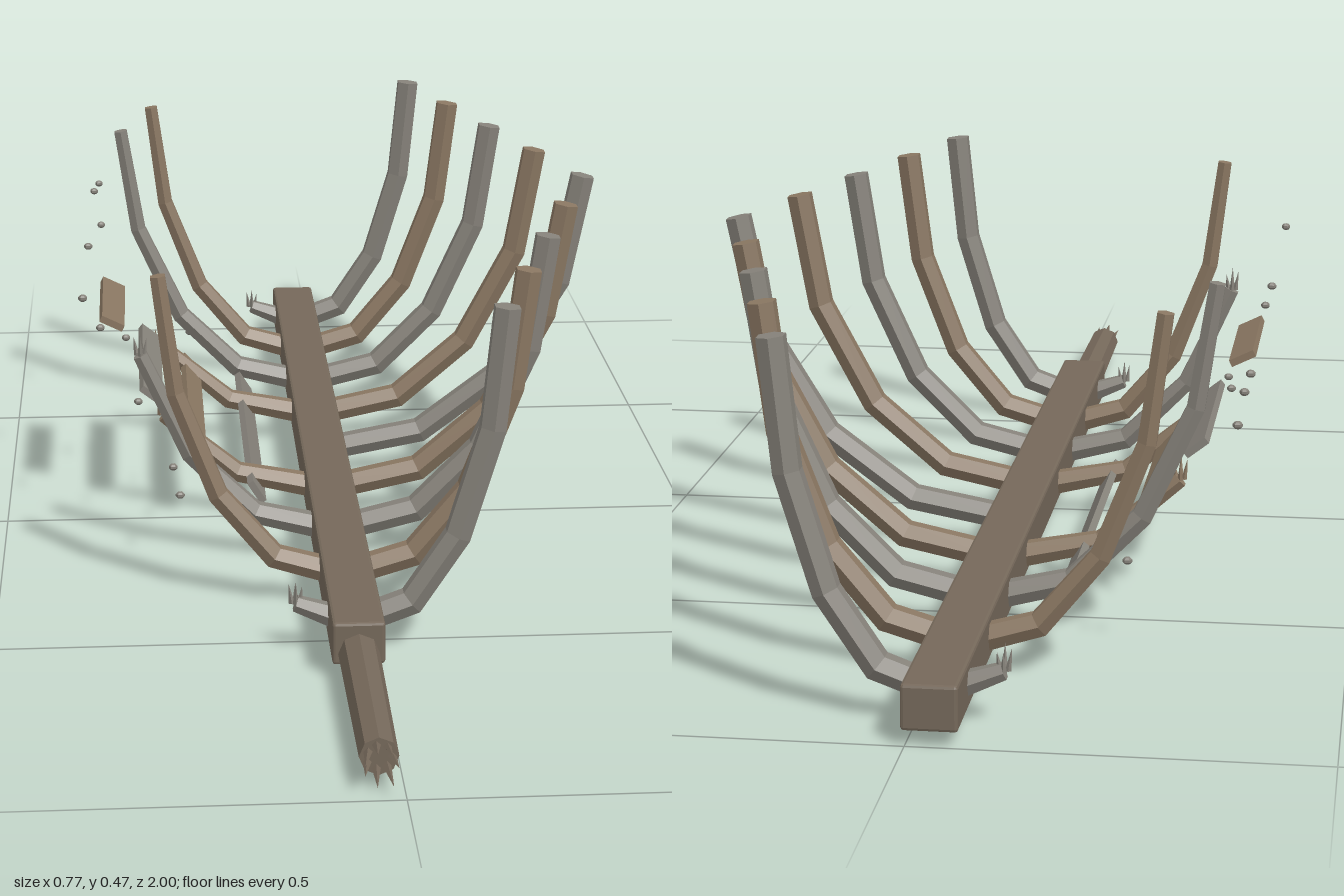
import * as THREE from 'three';
import { RoundedBoxGeometry } from 'three/addons/geometries/RoundedBoxGeometry.js';

const wood = (color) => new THREE.MeshStandardMaterial({ color, flatShading: true });
const dark = wood(0x75685a), brown = wood(0x8a7762), grey = wood(0x86827a);
const CX = -0.029; // keel centre line

// Rib curve: [fraction of half-beam, height]
const PROFILE = [[0, 0.042], [0.385, 0.07], [0.69, 0.16], [0.915, 0.305], [1, 0.467]];

// Six-sided mitred beam through points lying in one xy plane, capped at both ends
function beamGeometry(points, r0, r1) {
  const sides = 6, n = points.length, pos = [], index = [];
  const dirs = points.slice(1).map((p, i) => p.clone().sub(points[i]).normalize());
  points.forEach((p, i) => {
    const a = dirs[Math.max(i - 1, 0)], b = dirs[Math.min(i, n - 2)];
    const t = a.clone().add(b).normalize();
    const r = r0 + (r1 - r0) * i / (n - 1), mitre = r / t.dot(a);
    for (let j = 0; j < sides; j++) {
      const ang = (j + 0.5) / sides * Math.PI * 2, c = Math.cos(ang) * mitre;
      pos.push(p.x - t.y * c, p.y + t.x * c, Math.sin(ang) * r);
    }
  });
  for (let i = 0; i < n - 1; i++) for (let j = 0; j < sides; j++) {
    const a = i * sides + j, b = i * sides + (j + 1) % sides;
    index.push(a, b, b + sides, a, b + sides, a + sides);
  }
  const last = (n - 1) * sides;
  for (let j = 1; j < sides - 1; j++) index.push(0, j + 1, j, last, last + j, last + j + 1);
  const g = new THREE.BufferGeometry();
  g.setAttribute('position', new THREE.Float32BufferAttribute(pos, 3));
  g.setIndex(index);
  g.computeVertexNormals();
  return g;
}

// Ring of sharp splinters pointing up +y
function splinters(count, ring, radius, height, material) {
  const group = new THREE.Group();
  group.name = 'splinters';
  for (let i = 0; i < count; i++) {
    const a = i / count * Math.PI * 2, h = height * (0.75 + 0.25 * ((i * 2) % 3) / 2);
    const cone = new THREE.Mesh(new THREE.ConeGeometry(radius, h, 4), material);
    cone.name = 'splinter';
    cone.position.set(Math.cos(a) * ring, h / 2, Math.sin(a) * ring);
    cone.rotation.set(Math.sin(a) * 0.15, 0, -Math.cos(a) * 0.15);
    group.add(cone);
  }
  return group;
}

export function createModel() {
  const model = new THREE.Group();
  model.name = 'wreckedHull';
  const add = (name, geometry, material, x, y, z) => {
    const mesh = new THREE.Mesh(geometry, material);
    mesh.name = name;
    mesh.position.set(x, y, z);
    model.add(mesh);
    return mesh;
  };

  // Keel
  add('keel', new RoundedBoxGeometry(0.068, 0.057, 1.63, 1, 0.004), dark, CX, 0.051, -0.185);

  // Broken mast lying along the keel, with a splintered end
  const mast = add('mast', new THREE.CylinderGeometry(0.024, 0.034, 1.13, 8), dark, CX, 0.038, 0.385);
  mast.rotation.x = Math.PI / 2;
  const mastEnd = splinters(7, 0.018, 0.006, 0.055, dark);
  mastEnd.position.set(CX, 0.038, 0.945);
  mastEnd.rotation.x = Math.PI / 2;
  model.add(mastEnd);

  // Ribs: left side whole, right side broken off after the given number of points
  const rightPoints = [2, 5, 4, 3, 0, 3, 5, 5, 2];
  rightPoints.forEach((count, i) => {
    const z = 0.53 - i * 0.18, half = 0.397 - Math.abs(i - 4) * 0.05;
    const material = i % 2 ? brown : grey;
    const path = (side, n) => PROFILE.slice(0, n)
      .map(([f, y]) => new THREE.Vector3(CX + side * f * half, y, 0));
    add('leftRib', beamGeometry(path(1, 5), 0.019, 0.019), material, 0, 0, z);
    if (!count) return;
    const points = path(-1, count), tip = points[count - 1];
    add('rightRib', beamGeometry(points, 0.019, 0.0115), material, 0, 0, z);
    if (count < 5) {
      const ends = splinters(4, 0.007, 0.004, 0.032, material);
      ends.position.set(tip.x, tip.y, z);
      model.add(ends);
    }
  });

  // Loose hull planks: x, y, back z, front z, tilt
  [[-0.341, 0.297, -0.24, -0.02, 26], [-0.286, 0.193, -0.33, 0, 38],
    [-0.222, 0.116, -0.42, 0.025, 48], [-0.135, 0.054, -0.51, 0.04, 58]]
    .forEach(([x, y, z0, z1, tilt], i) => {
      const plank = add('plank', new THREE.BoxGeometry(0.036, 0.01, z1 - z0),
        i % 2 ? grey : brown, x, y, (z0 + z1) / 2);
      plank.rotation.z = -THREE.MathUtils.degToRad(tilt);
    });

  // Barnacles
  const barnacle = new THREE.SphereGeometry(0.0065, 6, 5);
  [[-0.365, 0.335, -0.745], [-0.371, 0.36, -0.585], [-0.36, 0.32, -0.52], [-0.22, 0.115, -0.6],
    [-0.155, 0.08, -0.61], [-0.375, 0.38, -0.15], [-0.322, 0.235, -0.16], [-0.357, 0.31, 0.045],
    [-0.305, 0.2, 0.05], [-0.24, 0.13, 0.065], [-0.255, 0.15, -0.075], [-0.378, 0.397, 0.2],
    [-0.258, 0.15, 0.2], [-0.25, 0.143, 0.3]]
    .forEach(([x, y, z]) => { add('barnacle', barnacle, grey, x, y, z).scale.y = 0.8; });

  return model;
}
